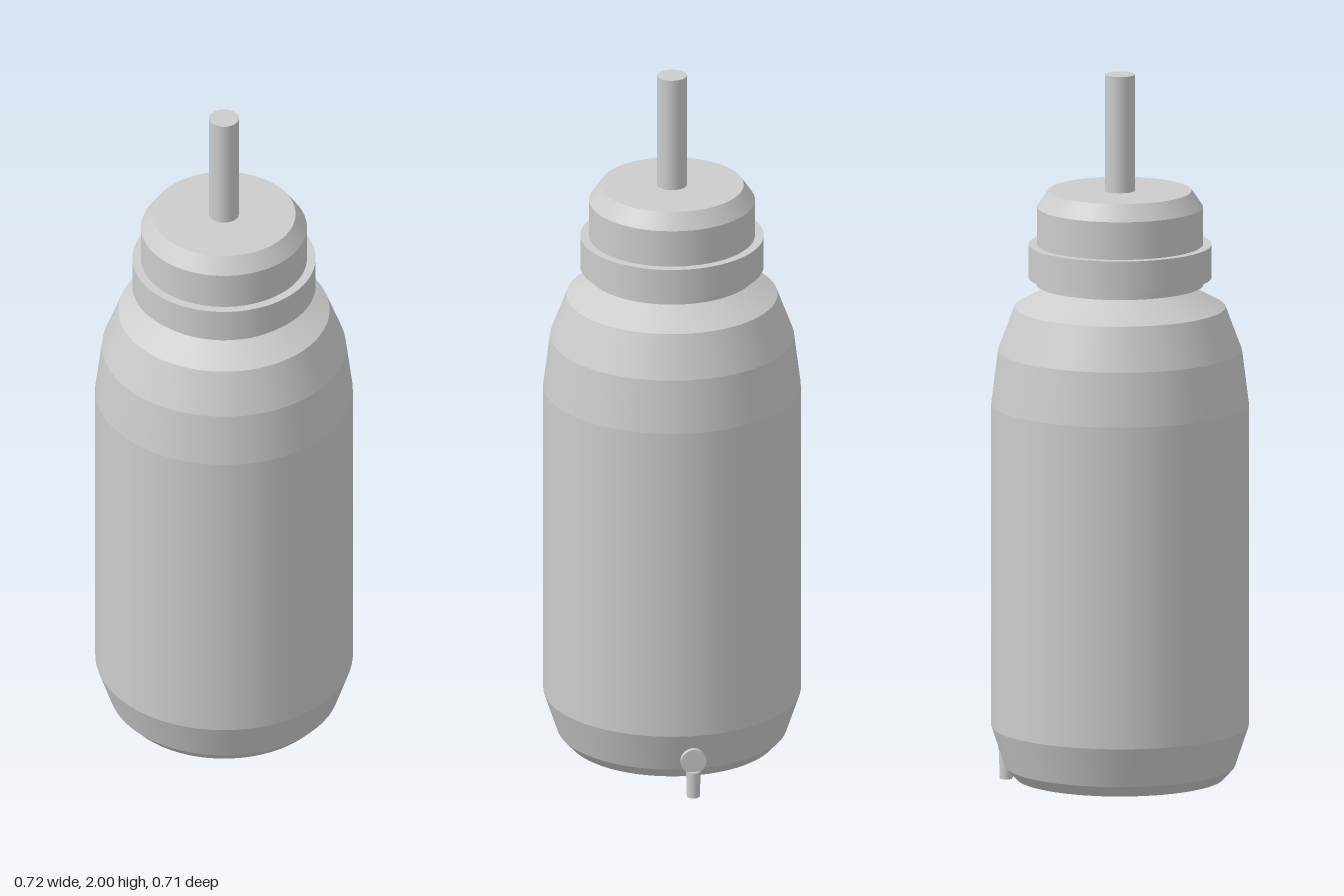
import * as THREE from 'three';

const SEGMENTS = 64;

export function createModel() {
  const model = new THREE.Group();
  model.name = 'squeezeBottle';
  const grey = new THREE.MeshStandardMaterial({ color: 0xcccccc });
  grey.name = 'light grey';

  const bottle = new THREE.Group();
  bottle.name = 'bottle';
  bottle.position.x = -0.008;
  model.add(bottle);

  // Turned part: each band is smooth around, with crisp edges between bands
  function turned(name, profile) {
    const part = new THREE.Group();
    part.name = name;
    for (let i = 0; i < profile.length - 1; i++) {
      const band = [profile[i], profile[i + 1]].map(([r, y]) => new THREE.Vector2(r, y));
      const mesh = new THREE.Mesh(new THREE.LatheGeometry(band, SEGMENTS), grey);
      mesh.name = name + 'Band' + (i + 1);
      part.add(mesh);
    }
    bottle.add(part);
  }

  // Body with chamfered base, straight wall and faceted shoulder
  turned('body', [
    [0, 0.035], [0.287, 0.035], [0.316, 0.067], [0.354, 0.18], [0.354, 1.08],
    [0.335, 1.23], [0.29, 1.35], [0.18, 1.41], [0.18, 1.42],
  ]);

  // Cap with a lower lip, a wide collar and a bevelled top
  turned('cap', [
    [0, 1.413], [0.23, 1.413], [0.23, 1.433], [0.252, 1.433], [0.252, 1.525],
    [0.228, 1.525], [0.228, 1.63], [0.197, 1.675], [0, 1.675],
  ]);

  // Straw
  turned('straw', [[0.041, 1.67], [0.041, 2], [0, 2]]);

  // Small drain tap on the left side
  const tap = new THREE.Group();
  tap.name = 'tap';
  model.add(tap);
  function rod(name, rTop, rBottom, length, x, y, sideways) {
    const mesh = new THREE.Mesh(new THREE.CylinderGeometry(rTop, rBottom, length, 32), grey);
    mesh.name = name;
    mesh.position.set(x, y, 0);
    if (sideways) mesh.rotation.z = -Math.PI / 2;
    tap.add(mesh);
  }
  rod('tapStem', 0.02, 0.02, 0.06, 0.315, 0.105, true);
  rod('tapDisc', 0.035, 0.035, 0.014, 0.342, 0.105, true);
  rod('tapSpout', 0.02, 0.018, 0.075, 0.341, 0.0375, false);

  return model;
}
